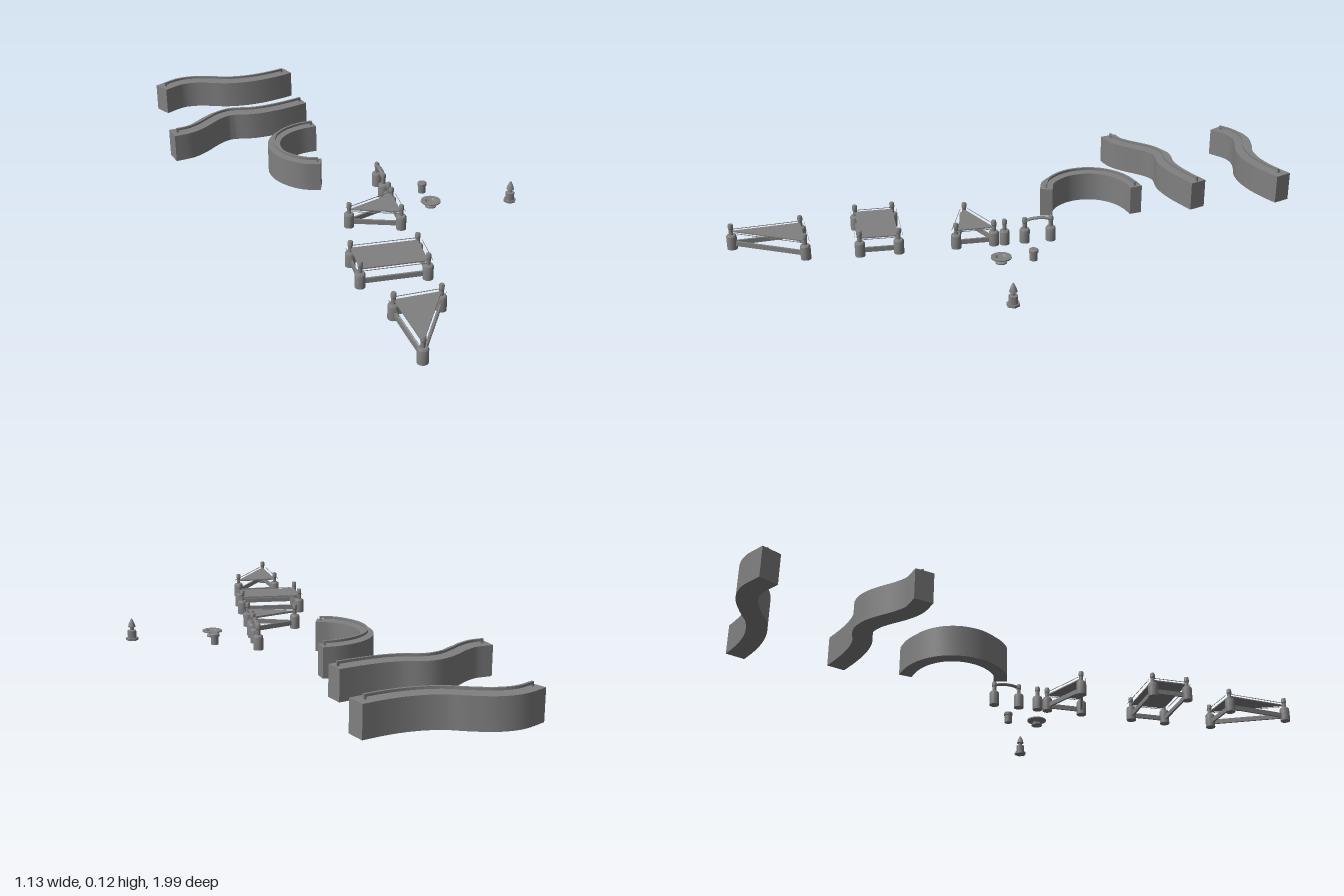
import * as THREE from 'three';
import { toCreasedNormals } from 'three/addons/utils/BufferGeometryUtils.js';

const mat = new THREE.MeshStandardMaterial({ color: 0x808080, side: THREE.DoubleSide });
const BASE = 0.006;

function add(parent, name, geometry, x = 0, y = 0, z = 0) {
  const m = new THREE.Mesh(geometry, mat);
  m.name = name;
  m.position.set(x, y, z);
  parent.add(m);
  return m;
}

// solid of revolution from [radius, height] pairs, with crisp edges
function lathe(profile, sides = 20) {
  const g = new THREE.LatheGeometry(profile.map(([r, y]) => new THREE.Vector2(r, y)), sides);
  return toCreasedNormals(g, 0.6);
}

// upright extrusion of a plan outline given as [x, z] pairs
function slab(outline, y, height) {
  const shape = new THREE.Shape(outline.map(([x, z]) => new THREE.Vector2(x, -z)));
  const g = new THREE.ExtrudeGeometry(shape, { depth: height, bevelEnabled: false });
  g.rotateX(-Math.PI / 2);
  g.translate(0, y, 0);
  return toCreasedNormals(g, 0.6);
}

// band of constant width along a plan curve, between parameters t0 and t1
function band(curve, width, y, height, t0 = 0, t1 = 1, steps = 36) {
  const left = [], right = [];
  for (let i = 0; i <= steps; i++) {
    const t = t0 + (t1 - t0) * i / steps;
    const p = curve.getPointAt(t), d = curve.getTangentAt(t);
    const nx = -d.z * width / 2, nz = d.x * width / 2;
    left.push([p.x + nx, p.z + nz]);
    right.unshift([p.x - nx, p.z - nz]);
  }
  return slab([...left, ...right], y, height);
}

// curved wall with a raised handrail on top, running from t0 to t1
function wall(root, name, points, width, t0, t1) {
  const g = new THREE.Group();
  g.name = name;
  const curve = new THREE.CatmullRomCurve3(points.map(([x, z]) => new THREE.Vector3(x, 0, z)));
  add(g, 'wallBody', band(curve, width, BASE, 0.101));
  add(g, 'handrail', band(curve, 0.008, 0.114, 0.008, t0, t1));
  for (const t of [t0, t1 - 0.013]) add(g, 'railSupport', band(curve, 0.008, 0.105, 0.01, t, t + 0.013, 2));
  root.add(g);
}

const postGeometry = lathe([[0, 0], [0.017, 0], [0.017, 0.045], [0.014, 0.05], [0.007, 0.051],
  [0.007, 0.07], [0.0085, 0.072], [0.0085, 0.084], [0.007, 0.088], [0, 0.088]]);
const post = (parent, x, z) => add(parent, 'post', postGeometry, x, BASE, z);

// bar between two plan points
function bar(parent, name, a, b, y, width, height) {
  const dx = b[0] - a[0], dz = b[1] - a[1];
  const m = add(parent, name, new THREE.BoxGeometry(width, height, Math.hypot(dx, dz)),
    (a[0] + b[0]) / 2, y, (a[1] + b[1]) / 2);
  m.rotation.y = Math.atan2(dx, dz);
}

// posts with a deck, low bars and a thin cord around the outside
function platform(root, name, corners) {
  const g = new THREE.Group();
  g.name = name;
  add(g, 'deck', slab(corners, 0.066, 0.004));
  corners.forEach((a, i) => {
    const b = corners[(i + 1) % corners.length];
    post(g, a[0], a[1]);
    bar(g, 'lowerBar', a, b, 0.026, 0.007, 0.016);
    const dx = b[0] - a[0], dz = b[1] - a[1], len = Math.hypot(dx, dz);
    const ox = -dz / len * 0.014, oz = dx / len * 0.014;
    bar(g, 'cord', [a[0] + ox, a[1] + oz], [b[0] + ox, b[1] + oz], 0.069, 0.001, 0.002);
  });
  root.add(g);
}

export function createModel() {
  const root = new THREE.Group();
  root.name = 'barrierSet';

  // winding and curved walls
  wall(root, 'rearWall', [[-0.552, -0.902], [-0.48, -0.947], [-0.42, -0.955], [-0.35, -0.94], [-0.29, -0.92],
    [-0.225, -0.915], [-0.156, -0.924], [-0.09, -0.944], [-0.03, -0.969]], 0.064, 0.035, 0.955);
  wall(root, 'middleWall', [[-0.553, -0.458], [-0.49, -0.474], [-0.447, -0.505], [-0.405, -0.548], [-0.368, -0.58],
    [-0.32, -0.6], [-0.235, -0.592], [-0.167, -0.601], [-0.1, -0.621], [-0.03, -0.648]], 0.062, 0.03, 0.985);
  wall(root, 'archWall', [[-0.03, -0.418], [-0.087, -0.407], [-0.145, -0.378], [-0.188, -0.33], [-0.206, -0.272],
    [-0.198, -0.209], [-0.167, -0.156], [-0.124, -0.119], [-0.07, -0.103]], 0.044, 0.02, 0.98);

  // platforms, corners ordered so the cords fall outside
  platform(root, 'smallTriangle', [[0.124, 0.246], [0.124, 0.119], [-0.04, 0.193]]);
  platform(root, 'rectangle', [[-0.093, 0.563], [0.121, 0.563], [0.124, 0.436], [-0.093, 0.436]]);
  platform(root, 'largeTriangle', [[-0.018, 0.975], [0.108, 0.738], [-0.04, 0.749]]);

  // pair of posts joined by a flat, slightly arched link
  const pair = new THREE.Group();
  pair.name = 'linkedPosts';
  post(pair, 0.124, -0.075);
  post(pair, 0.124, 0.014);
  const arch = new THREE.CatmullRomCurve3([[0.082, -0.075], [0.088, -0.055], [0.09, -0.03], [0.088, -0.006], [0.082, 0.014]]
    .map(([y, z]) => new THREE.Vector3(0, y, z)));
  const link = new THREE.TubeGeometry(arch, 20, 0.004, 8);
  link.scale(2.2, 1, 1);
  add(pair, 'link', link, 0.124);
  root.add(pair);

  // single post
  post(root, 0.124, 0.083).name = 'singlePost';

  // short stub
  add(root, 'stub', lathe([[0, 0], [0.013, 0], [0.013, 0.026], [0.016, 0.028],
    [0.016, 0.036], [0.013, 0.039], [0, 0.039]]), 0.264, BASE, 0.013);

  // saucer with a flared rim and hollow centre
  add(root, 'saucer', lathe([[0, 0], [0.019, 0], [0.019, 0.004], [0.012, 0.01], [0.014, 0.014], [0.034, 0.018],
    [0.034, 0.022], [0.019, 0.022], [0.013, 0.016], [0, 0.016]], 24), 0.264, BASE, 0.12);

  // pointed finial on a hexagonal base
  const finial = new THREE.Group();
  finial.name = 'finial';
  finial.position.set(0.544, 0, 0.135);
  add(finial, 'finialBase', lathe([[0, 0], [0.022, 0], [0.022, 0.008], [0, 0.008]], 6)).rotation.y = Math.PI / 6;
  add(finial, 'finialBody', lathe([[0.015, 0.008], [0.015, 0.034], [0.007, 0.036], [0.007, 0.044],
    [0.013, 0.047], [0.01, 0.058], [0.004, 0.072], [0, 0.077]], 16));
  root.add(finial);

  return root;
}
